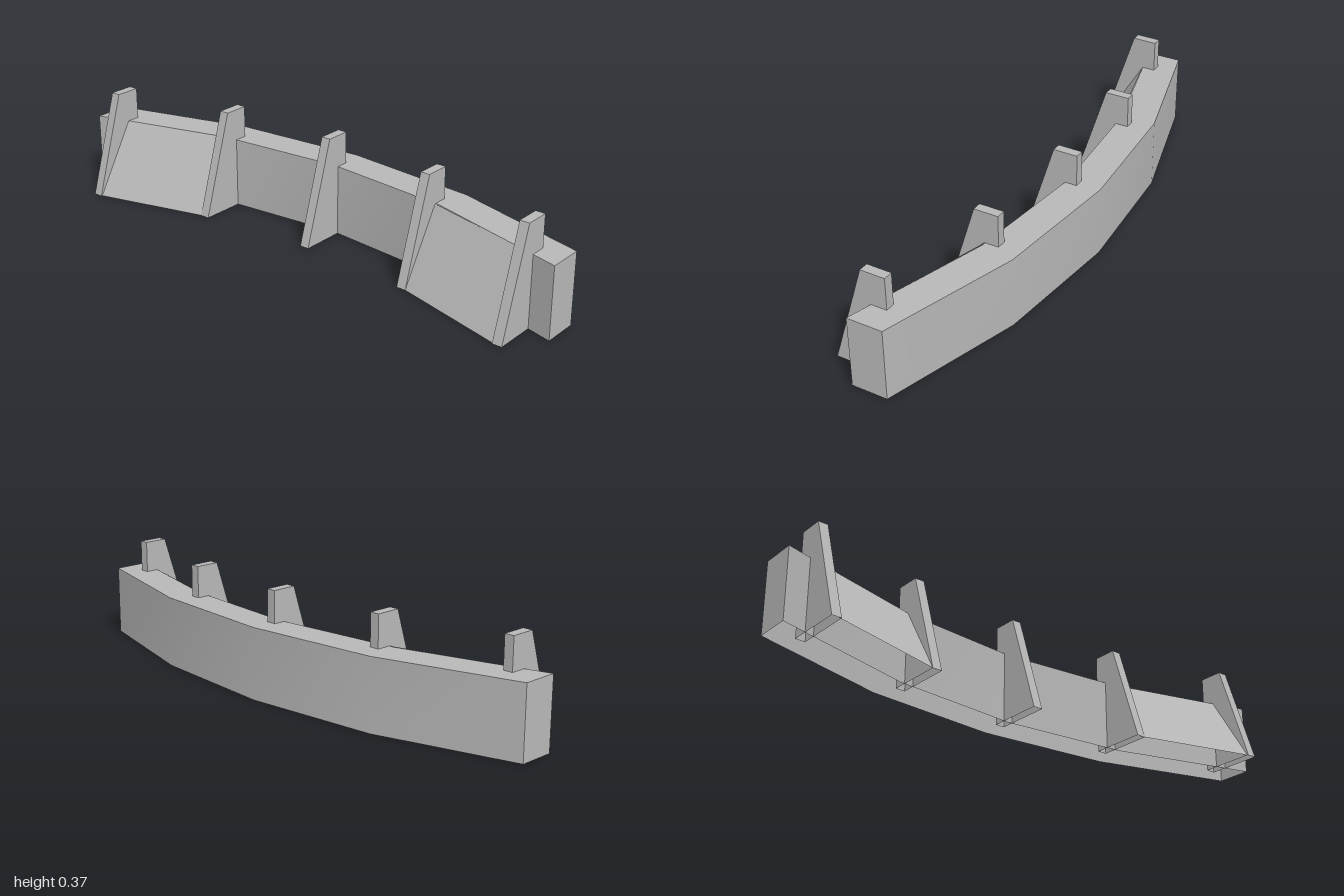
import * as THREE from 'three';

const HEIGHT = 0.257;

// Smooth ribbon of quads between two matching rows of points
function ribbon(rowA, rowB) {
  const n = rowA.length;
  const index = [];
  for (let i = 0; i < n - 1; i++) index.push(i, i + 1, n + i + 1, i, n + i + 1, n + i);
  const geometry = new THREE.BufferGeometry();
  geometry.setAttribute('position', new THREE.Float32BufferAttribute([...rowA, ...rowB].flat(), 3));
  geometry.setIndex(index);
  geometry.computeVertexNormals();
  return geometry;
}

export function createModel() {
  const model = new THREE.Group();
  model.name = 'curvedBarrier';
  const concrete = new THREE.MeshStandardMaterial({ color: 0xb8b8b8, side: THREE.DoubleSide });
  concrete.name = 'concreteGrey';

  function add(parent, name, geometry) {
    const mesh = new THREE.Mesh(geometry, concrete);
    mesh.name = name;
    parent.add(mesh);
    return mesh;
  }

  // Bent wall, hollow with an open underside
  const wall = new THREE.Group();
  wall.name = 'wall';
  model.add(wall);
  const backLine = [[-1, -0.035], [-0.5, -0.176], [0, -0.22], [0.5, -0.176], [1, -0.035]];
  const frontLine = [[-1, 0.095], [-0.48, -0.05], [0, -0.095], [0.48, -0.05], [1, 0.095]];
  const at = (line, y) => line.map(([x, z]) => [x, y, z]);
  const frontLow = at(frontLine, 0), frontHigh = at(frontLine, HEIGHT);
  const backLow = at(backLine, 0), backHigh = at(backLine, HEIGHT);
  add(wall, 'wallFront', ribbon(frontLow, frontHigh));
  add(wall, 'wallBack', ribbon(backHigh, backLow));
  add(wall, 'wallTop', ribbon(frontHigh, backHigh));
  add(wall, 'wallLeftEnd', ribbon([frontLow[4], backLow[4]], [frontHigh[4], backHigh[4]]));
  add(wall, 'wallRightEnd', ribbon([backLow[0], frontLow[0]], [backHigh[0], frontHigh[0]]));

  // Buttress ribs: vertical back, sloping front, open underside
  const half = 0.0175;
  const profile = [[0.208, 0], [0.09, 0.373], [0, 0.373], [0, 0]];
  function addRib(x, backZ) {
    const rib = new THREE.Group();
    rib.name = 'buttress';
    rib.position.set(x, 0, backZ);
    model.add(rib);
    const side = (sx) => profile.map(([z, y]) => [sx * half, y, z]);
    const l = side(1), r = side(-1);
    ['buttressFront', 'buttressTop', 'buttressBack'].forEach((name, i) =>
      add(rib, name, ribbon([r[i], l[i]], [r[i + 1], l[i + 1]])));
    add(rib, 'buttressLeftSide', ribbon([l[0], l[3]], [l[1], l[2]]));
    add(rib, 'buttressRightSide', ribbon([r[3], r[0]], [r[2], r[1]]));
  }
  addRib(0, -0.138);
  for (const s of [-1, 1]) {
    addRib(s * 0.445, -0.102);
    addRib(s * 0.892, 0.012);

    // Sloping sheet between the two outer ribs
    const low = [[s * 0.892, 0, 0.22], [s * 0.445, 0, 0.101]];
    const high = [[s * 0.892, HEIGHT, 0.065], [s * 0.445, HEIGHT, -0.054]];
    if (s > 0) { low.reverse(); high.reverse(); }
    add(model, 'slopedPanel', ribbon(low, high));
  }
  return model;
}
